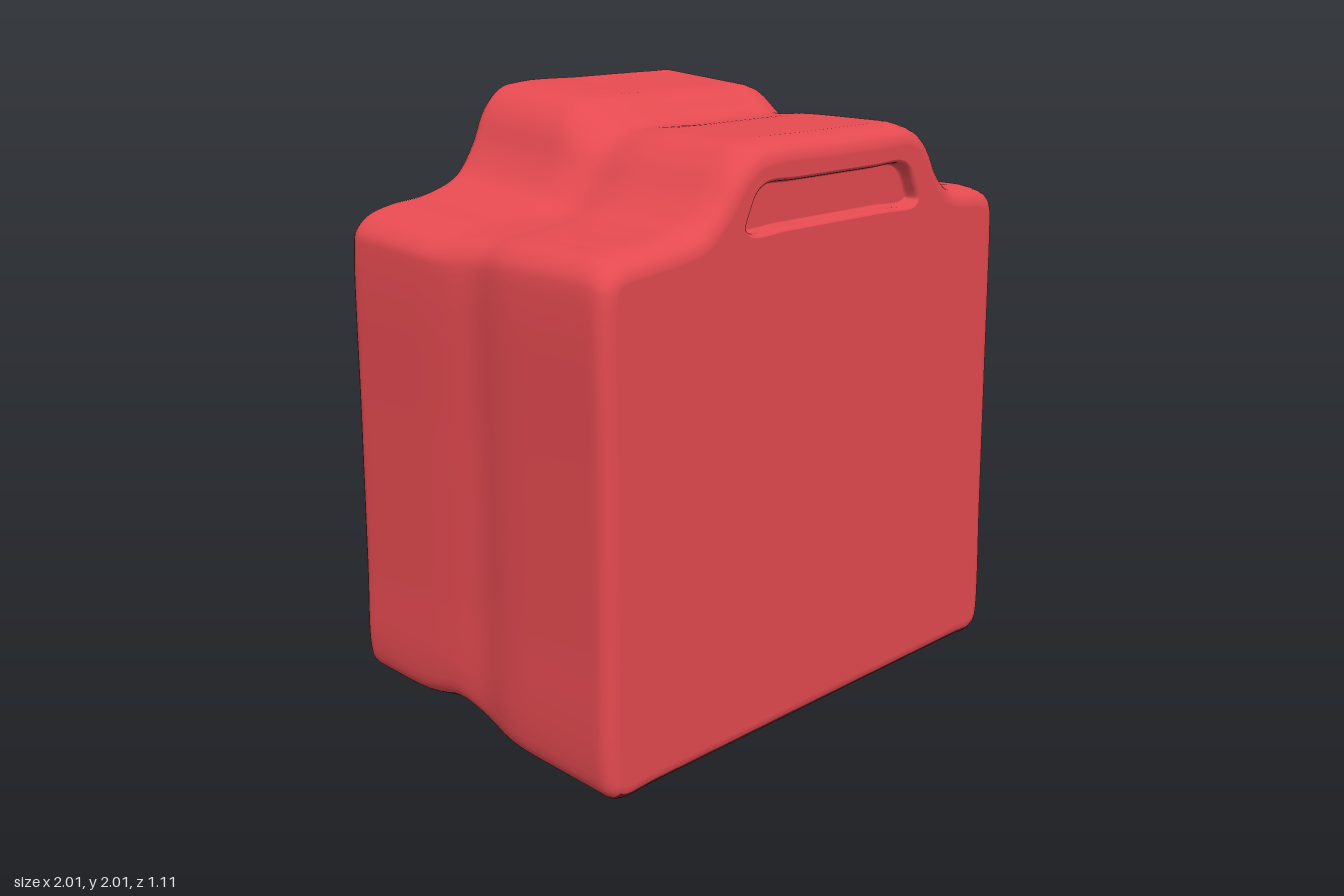
import * as THREE from 'three';

const red = new THREE.MeshStandardMaterial({ color: 0xe44a50 });
red.name = 'canister red';
const maroon = new THREE.MeshStandardMaterial({ color: 0x6e2226 });
maroon.name = 'underside maroon';

const V = (x, y) => new THREE.Vector2(x, y);
const bump = (z, centre, width) => Math.exp(-(((z - centre) / width) ** 2));

// Top edge from right shoulder to left shoulder: front x, y, then back x, y
const TOP = [
  [0.97, 1.5, 1.0, 1.5], [0.965, 1.57, 0.995, 1.58], [0.94, 1.61, 0.965, 1.625],
  [0.88, 1.63, 0.9, 1.65], [0.78, 1.64, 0.82, 1.66], [0.7, 1.655, 0.73, 1.678],
  [0.63, 1.71, 0.66, 1.745], [0.57, 1.8, 0.59, 1.88], [0.52, 1.85, 0.54, 1.95],
  [0.44, 1.88, 0.47, 1.978], [0.35, 1.88, 0.37, 1.981], [0, 1.88, 0, 1.981],
  [-0.25, 1.88, -0.27, 1.981], [-0.34, 1.865, -0.36, 1.963], [-0.42, 1.81, -0.43, 1.9],
  [-0.5, 1.72, -0.49, 1.78], [-0.59, 1.65, -0.56, 1.695], [-0.7, 1.63, -0.68, 1.65],
  [-0.85, 1.615, -0.84, 1.63], [-0.94, 1.6, -0.93, 1.605], [-0.985, 1.56, -0.98, 1.56],
  [-1.0, 1.5, -0.99, 1.5],
];
const PER_POINT = 6; // outline samples per control point

// Closed smooth outline through control points, counter-clockwise
function smooth(points) {
  const curve = new THREE.CatmullRomCurve3(points.map(([x, y]) => new THREE.Vector3(x, y, 0)), true);
  const count = points.length * PER_POINT;
  return Array.from({ length: count }, (_, i) => {
    const p = curve.getPoint(i / count);
    return V(p.x, p.y);
  });
}

// Body outline at depth z
function outline(z) {
  const back = THREE.MathUtils.smoothstep(-z, 0, 0.18);
  const waist = bump(z, 0, 0.1);
  const lift = 0.02 * (0.5 - z) - 0.08 * back * (z + 0.5) - 0.012 * waist
    - 0.02 * THREE.MathUtils.smoothstep(z, 0.45, 0.56);
  const top = TOP.map(([fx, fy, bx, by]) => [
    THREE.MathUtils.lerp(fx, bx, back) * (1 - (fx < 0 ? 0.022 : 0.008) * waist),
    THREE.MathUtils.lerp(fy, by, back) + lift,
  ]);
  const right = top[0][0], left = top[top.length - 1][0];
  const floor = 0.06 - 0.12 * z;
  const edge = floor + 0.045 * bump(z, -0.1, 0.13) + 0.015 * back;
  const points = [
    ...top,
    [left, 1], [left, 0.5], [left, edge + 0.08], [left + 0.015, edge + 0.03], [left + 0.06, edge],
    [-0.8, floor], [-0.4, floor], [0.4, floor], [0.8, floor],
    [right - 0.06, edge], [right - 0.015, edge + 0.03], [right, edge + 0.08], [right, 0.5], [right, 1],
  ];
  return smooth(points);
}
// Outline samples that belong to the underside
const UNDER_START = (TOP.length + 3.5) * PER_POINT;
const UNDER_END = (TOP.length + 9.5) * PER_POINT;

// Move a counter-clockwise outline inward
function inset(points, d) {
  const n = points.length;
  return points.map((p, i) => {
    const t = points[(i + 1) % n].clone().sub(points[(i + n - 1) % n]).normalize();
    return V(p.x - t.y * d, p.y + t.x * d);
  });
}

// Skin over rings of equal point count; cells chosen by isSecond get the second material
function loft(rings, flip, isSecond = () => false) {
  const n = rings[0].points.length, pos = [], index = [[], []];
  rings.forEach(({ points, z }) => points.forEach((p) => pos.push(p.x, p.y, z)));
  for (let i = 0; i < rings.length - 1; i++) {
    for (let j = 0; j < n; j++) {
      const a = i * n + j, b = i * n + ((j + 1) % n), c = a + n, d = b + n;
      const list = index[isSecond(i, j) ? 1 : 0];
      if (flip) list.push(a, b, c, b, d, c);
      else list.push(a, c, b, b, c, d);
    }
  }
  const g = new THREE.BufferGeometry();
  g.setAttribute('position', new THREE.Float32BufferAttribute(pos, 3));
  g.setIndex([...index[0], ...index[1]]);
  g.addGroup(0, index[0].length, 0);
  g.addGroup(index[0].length, index[1].length, 1);
  g.computeVertexNormals();
  return g;
}

// Flat face at depth z, looking to the front (side 1) or the back (side -1)
function face(points, hole, z, side) {
  const shape = new THREE.Shape(points);
  if (hole) shape.holes.push(new THREE.Path(hole));
  const g = new THREE.ShapeGeometry(shape);
  g.translate(0, 0, z);
  if (side < 0) {
    g.setIndex(Array.from(g.index.array).reverse());
    g.computeVertexNormals();
  }
  return g;
}

// Rounded trapezoid of a hand grip
function gripOutline(x0, x1, y0, y1) {
  const s = 0.075;
  return smooth([
    [x0 + 0.03, y0], [x0 + 0.2, y0], [(x0 + x1) / 2, y0], [x1 - 0.2, y0], [x1 - 0.03, y0],
    [x1, y0 + 0.025], [x1 - 0.02, (y0 + y1) / 2], [x1 - s + 0.02, y1 - 0.025], [x1 - s - 0.03, y1],
    [x1 - 0.25, y1], [(x0 + x1) / 2, y1], [x0 + 0.25, y1], [x0 + s + 0.03, y1],
    [x0 + s - 0.02, y1 - 0.025], [x0 + 0.02, (y0 + y1) / 2], [x0, y0 + 0.025],
  ]);
}

export function createModel() {
  const group = new THREE.Group();
  group.name = 'canister';
  const add = (name, geometry, material = red) => {
    const mesh = new THREE.Mesh(geometry, material);
    mesh.name = name;
    group.add(mesh);
  };

  // Body skin with rounded front and back edges and a dark underside
  const half = 0.557, r = 0.045, rings = [];
  const ringAt = (z, d) => rings.push({ points: inset(outline(z), d), z });
  const corner = [0, 0.25, 0.5, 0.75, 1].map((t) => t * Math.PI / 2);
  ringAt(half, r + 0.006);
  corner.forEach((a) => ringAt(half - r * (1 - Math.cos(a)), r * (1 - Math.sin(a))));
  for (let i = 1; i < 40; i++) ringAt((half - r) * (1 - i / 20), 0);
  corner.slice().reverse().forEach((a) => ringAt(-half + r * (1 - Math.cos(a)), r * (1 - Math.sin(a))));
  ringAt(-half, r + 0.006);
  const isUnderside = (i, j) =>
    j >= UNDER_START && j < UNDER_END && i >= 2 && i < rings.length - 3;
  add('body', loft(rings, false, isUnderside), [red, maroon]);

  // Front and back panels, each with a recessed hand grip
  const grips = [
    { name: 'front', side: 1, hole: gripOutline(-0.4, 0.5, 1.602, 1.765), ring: rings[0] },
    { name: 'back', side: -1, hole: gripOutline(-0.41, 0.56, 1.66, 1.87), ring: rings[rings.length - 1] },
  ];
  for (const { name, side, hole, ring } of grips) {
    add(name + 'Panel', face(ring.points, hole, side * half, side));
    const steps = [[0, 0], [0.003, 0.001], [0.009, 0.006], [0.012, 0.014], [0.014, 0.038], [0.017, 0.046], [0.022, 0.048]];
    const wall = steps.map(([d, depth]) => ({ points: inset(hole, d), z: side * (half - depth) }));
    add(name + 'GripWall', loft(wall, side > 0));
    const last = wall[wall.length - 1];
    add(name + 'GripFloor', face(last.points, null, last.z, side));
  }
  return group;
}
